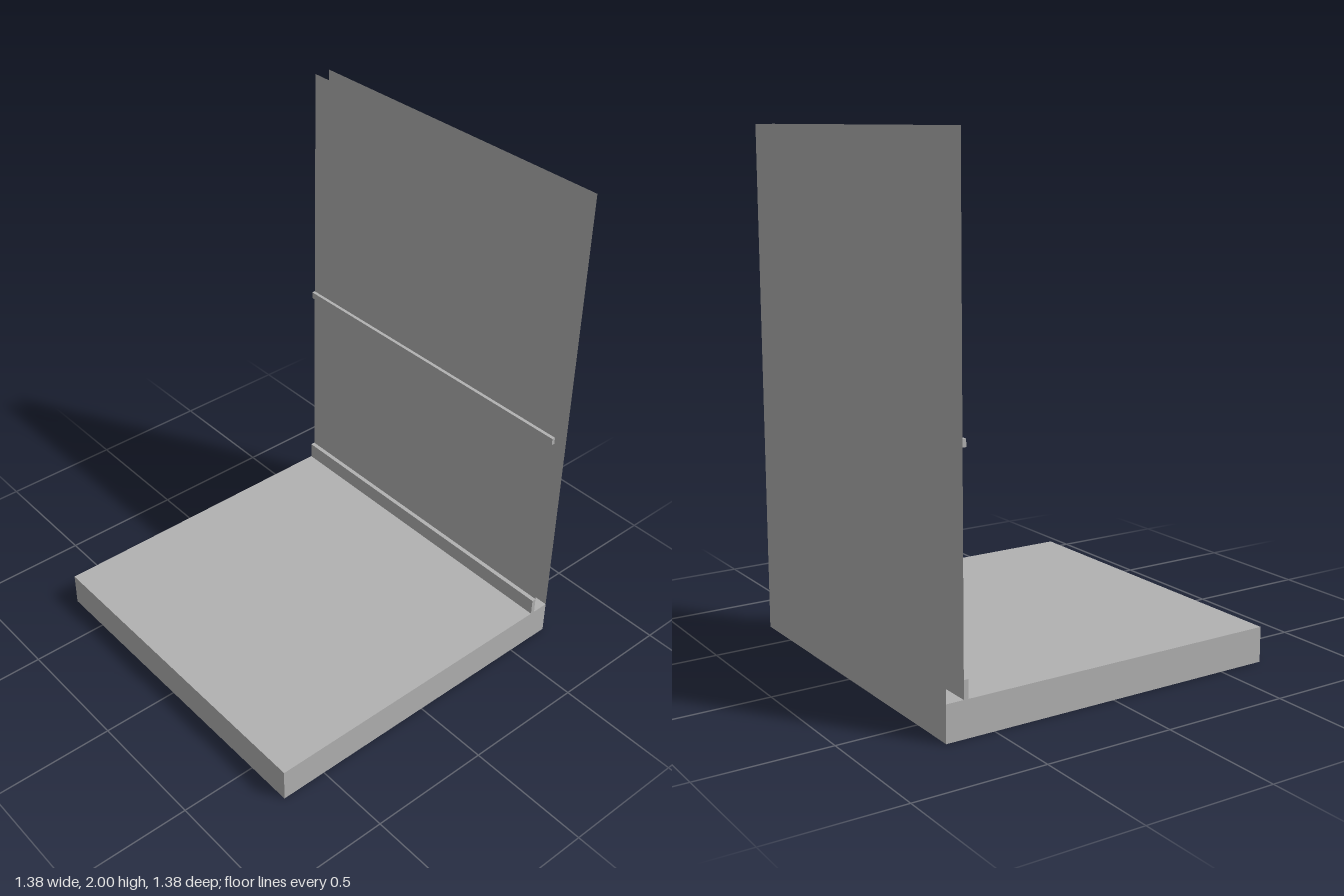
import * as THREE from 'three';

const WIDTH = 1.38;      // width and depth of the floor slab
const SLAB_TOP = 0.138;
const BACK_Z = -0.69;
const WALL_Z = -0.621;   // room-side skin of the wall

export function createModel() {
  const group = new THREE.Group();
  const grey = new THREE.MeshStandardMaterial({ color: 0xb2b2b2, side: THREE.DoubleSide });
  grey.name = 'plaster grey';

  const add = (name, geometry, y, z) => {
    const mesh = new THREE.Mesh(geometry, grey);
    mesh.name = name;
    mesh.position.set(0, y, z);
    group.add(mesh);
    return mesh;
  };

  // Floor slab
  add('floorSlab', new THREE.BoxGeometry(WIDTH, SLAB_TOP, WIDTH), SLAB_TOP / 2, 0);

  // Two thin wall skins with an open cavity between them
  const wallHeight = 2 - SLAB_TOP;
  const wallY = SLAB_TOP + wallHeight / 2;
  add('innerWall', new THREE.PlaneGeometry(WIDTH, wallHeight), wallY, WALL_Z);
  add('outerWall', new THREE.PlaneGeometry(WIDTH, wallHeight), wallY, BACK_Z).rotation.y = Math.PI;

  // Mouldings fixed to the face of the inner wall
  const addMoulding = (name, bottom, height, depth) =>
    add(name, new THREE.BoxGeometry(WIDTH, height, depth), bottom + height / 2, WALL_Z + depth / 2);
  addMoulding('skirtingBoard', SLAB_TOP, 0.069, 0.018);
  addMoulding('dadoRail', 0.988, 0.028, 0.014);

  return group;
}
